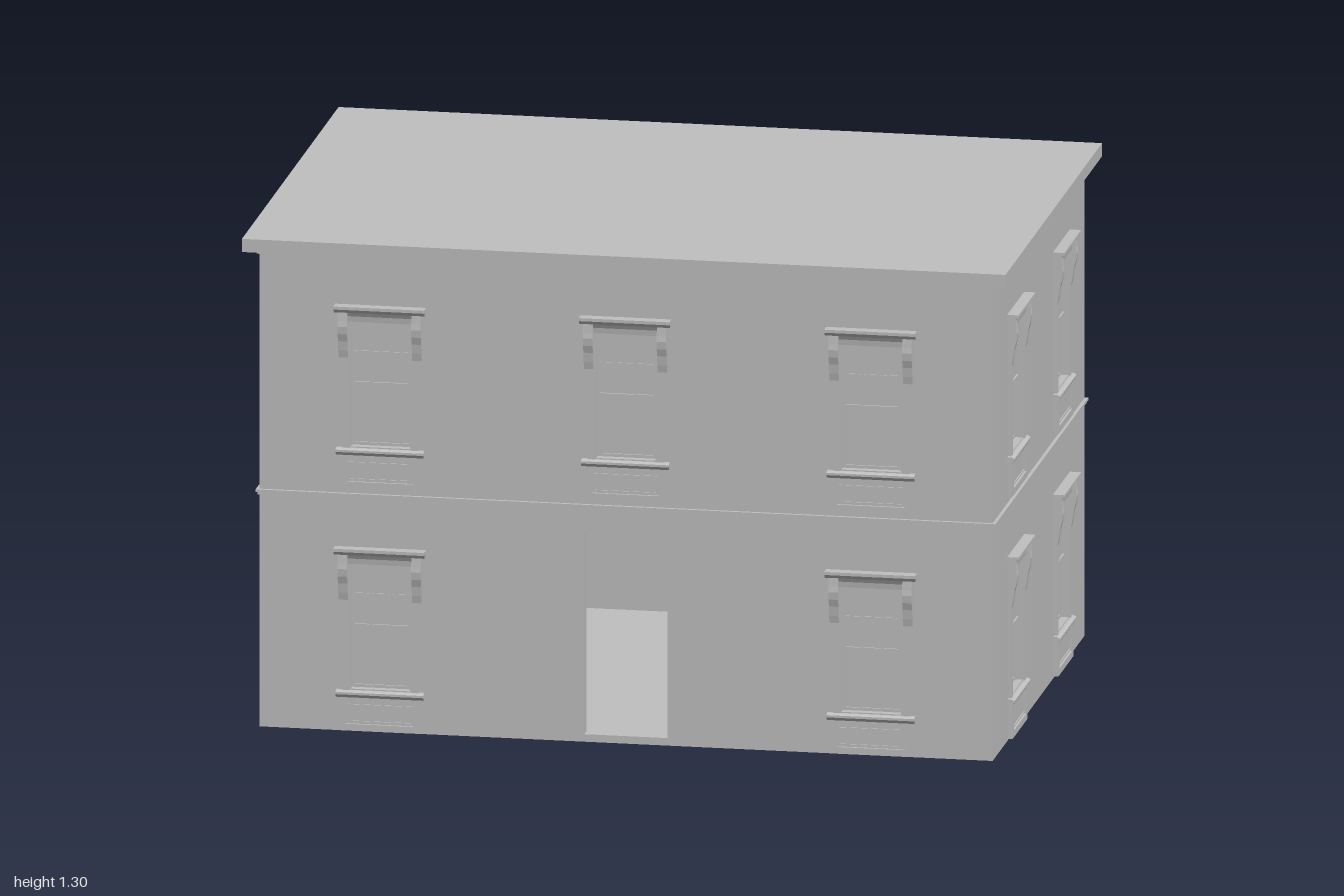
import * as THREE from 'three';

const stone = new THREE.MeshStandardMaterial({ color: 0xc0c0c0 });
stone.name = 'plain grey';

const HALF_X = 0.96, HALF_Z = 0.645, WALL = 0.03, TOP = 1.27, STOREY = 0.645;

function add(parent, name, geometry) {
  const mesh = new THREE.Mesh(geometry, stone);
  mesh.name = name;
  parent.add(mesh);
  return mesh;
}

// Box given by its limits on each axis
function box(parent, name, x0, x1, y0, y1, z0, z1) {
  const g = new THREE.BoxGeometry(x1 - x0, y1 - y0, z1 - z0);
  g.translate((x0 + x1) / 2, (y0 + y1) / 2, (z0 + z1) / 2);
  return add(parent, name, g);
}

// Moulding: a (depth, height) profile swept sideways from x0 to x1
function moulding(parent, name, x0, x1, profile) {
  const shape = new THREE.Shape(profile.map(([d, y]) => new THREE.Vector2(d, y)));
  const g = new THREE.ExtrudeGeometry(shape, { depth: x1 - x0, bevelEnabled: false });
  g.rotateY(-Math.PI / 2);
  g.translate(x1, 0, 0);
  return add(parent, name, g);
}

// Rectangular frame of four bars
function frame(parent, name, w, y0, y1, bar, z0, z1) {
  box(parent, name + 'Left', w - bar, w, y0, y1, z0, z1);
  box(parent, name + 'Right', -w, -w + bar, y0, y1, z0, z1);
  box(parent, name + 'Bottom', -w + bar, w - bar, y0, y0 + bar, z0, z1);
  box(parent, name + 'Top', -w + bar, w - bar, y1 - bar, y1, z0, z1);
}

// Sash window; local z = 0 is the wall surface, y = 0 the storey's base
function makeWindow(muntins) {
  const win = new THREE.Group();
  win.name = 'window';

  // Sashes and glass
  frame(win, 'windowLining', 0.083, 0.108, 0.452, 0.005, -WALL, 0.004);
  frame(win, 'lowerSash', 0.078, 0.113, 0.29, 0.008, -0.026, -0.016);
  frame(win, 'upperSash', 0.078, 0.276, 0.447, 0.008, -0.015, -0.005);
  box(win, 'lowerGlass', -0.072, 0.072, 0.119, 0.284, -0.023, -0.02);
  box(win, 'upperGlass', -0.072, 0.072, 0.282, 0.441, -0.013, -0.01);
  for (const x of muntins) box(win, 'muntin', x - 0.003, x + 0.003, 0.284, 0.44, -0.015, -0.006);
  box(win, 'crossMuntin', -0.07, 0.07, 0.361, 0.366, -0.015, -0.007);

  // Head with a stepped crown
  moulding(win, 'windowHead', -0.108, 0.108,
    [[0, 0.447], [0.012, 0.447], [0.014, 0.462], [0.02, 0.474], [0.02, 0.478], [0, 0.478]]);
  moulding(win, 'windowCrown', -0.119, 0.119,
    [[0, 0.472], [0.02, 0.472], [0.026, 0.482], [0.03, 0.482], [0.03, 0.49], [0, 0.49]]);

  // Jambs with scrolled brackets on top
  for (const s of [-1, 1]) {
    const span = (a, b) => (s > 0 ? [a, b] : [-b, -a]);
    moulding(win, 'jamb', ...span(0.082, 0.1), [[0, 0.108], [0.008, 0.108], [0.008, 0.45], [0, 0.45]]);
    moulding(win, 'jambEdge', ...span(0.1, 0.107), [[0, 0.16], [0.005, 0.16], [0.005, 0.36], [0, 0.36]]);
    moulding(win, 'bracket', ...span(0.084, 0.109), [[0, 0.35], [0.009, 0.35], [0.013, 0.37],
      [0.016, 0.395], [0.022, 0.415], [0.024, 0.435], [0.022, 0.45], [0.02, 0.475], [0, 0.475]]);
  }

  // Sill and panelled apron
  moulding(win, 'sill', -0.115, 0.115,
    [[0, 0.092], [0.013, 0.092], [0.018, 0.1], [0.018, 0.106], [0.01, 0.11], [0, 0.11]]);
  frame(win, 'apronFrame', 0.106, 0.003, 0.094, 0.018, 0, 0.012);
  box(win, 'apronPanel', -0.09, 0.09, 0.02, 0.078, 0, 0.006);
  frame(win, 'apronBead', 0.084, 0.025, 0.073, 0.004, 0.004, 0.009);
  return win;
}

function rectHole(x0, x1, y0, y1) {
  return new THREE.Path([[x0, y0], [x0, y1], [x1, y1], [x1, y0]].map(([x, y]) => new THREE.Vector2(x, y)));
}

// Wall with window openings in two storeys, and perhaps a doorway
function facade(name, half, columns, muntins, hasDoor) {
  const group = new THREE.Group();
  group.name = name;
  const shape = new THREE.Shape([[-half, 0], [half, 0], [half, TOP], [-half, TOP]]
    .map(([x, y]) => new THREE.Vector2(x, y)));
  for (const x of columns) {
    for (const y of [0, STOREY]) {
      if (hasDoor && x === 0 && y === 0) {
        shape.holes.push(rectHole(-0.11, 0.108, 0.02, 0.56));
        continue;
      }
      shape.holes.push(rectHole(x - 0.083, x + 0.083, y + 0.108, y + 0.452));
      const win = makeWindow(muntins);
      win.position.set(x, y, 0);
      group.add(win);
    }
  }
  const g = new THREE.ExtrudeGeometry(shape, { depth: WALL, bevelEnabled: false });
  g.translate(0, 0, -WALL);
  add(group, 'wall', g);
  return group;
}

// Slab reaching a little beyond the walls
function slab(parent, name, out, y0, y1) {
  box(parent, name, -HALF_X - out, HALF_X + out, y0, y1, -HALF_Z - out, HALF_Z + out);
}

export function createModel() {
  const model = new THREE.Group();
  model.name = 'house';

  // Long and short walls
  const thirds = [-0.026, 0.026];
  for (const s of [1, -1]) {
    const long = facade(s > 0 ? 'frontWall' : 'backWall', HALF_X, [-0.643, 0, 0.643], thirds, s > 0);
    long.position.z = s * HALF_Z;
    long.rotation.y = s > 0 ? 0 : Math.PI;
    const short = facade(s > 0 ? 'leftWall' : 'rightWall', HALF_Z - 0.0005, [-0.322, 0.322], [0], false);
    short.position.x = s * HALF_X;
    short.rotation.y = s * Math.PI / 2;
    model.add(long, short);
  }

  // Floor, string course, cornice and flat roof
  slab(model, 'groundFloor', -0.002, 0.001, 0.02);
  slab(model, 'stringCourse', 0.005, 0.619, 0.626);
  slab(model, 'stringCourseCap', 0.009, 0.626, 0.633);
  slab(model, 'corniceBead', 0.007, 1.26, 1.271);
  box(model, 'roof', -1, 1, 1.27, 1.305, -0.68, 0.68);
  return model;
}
